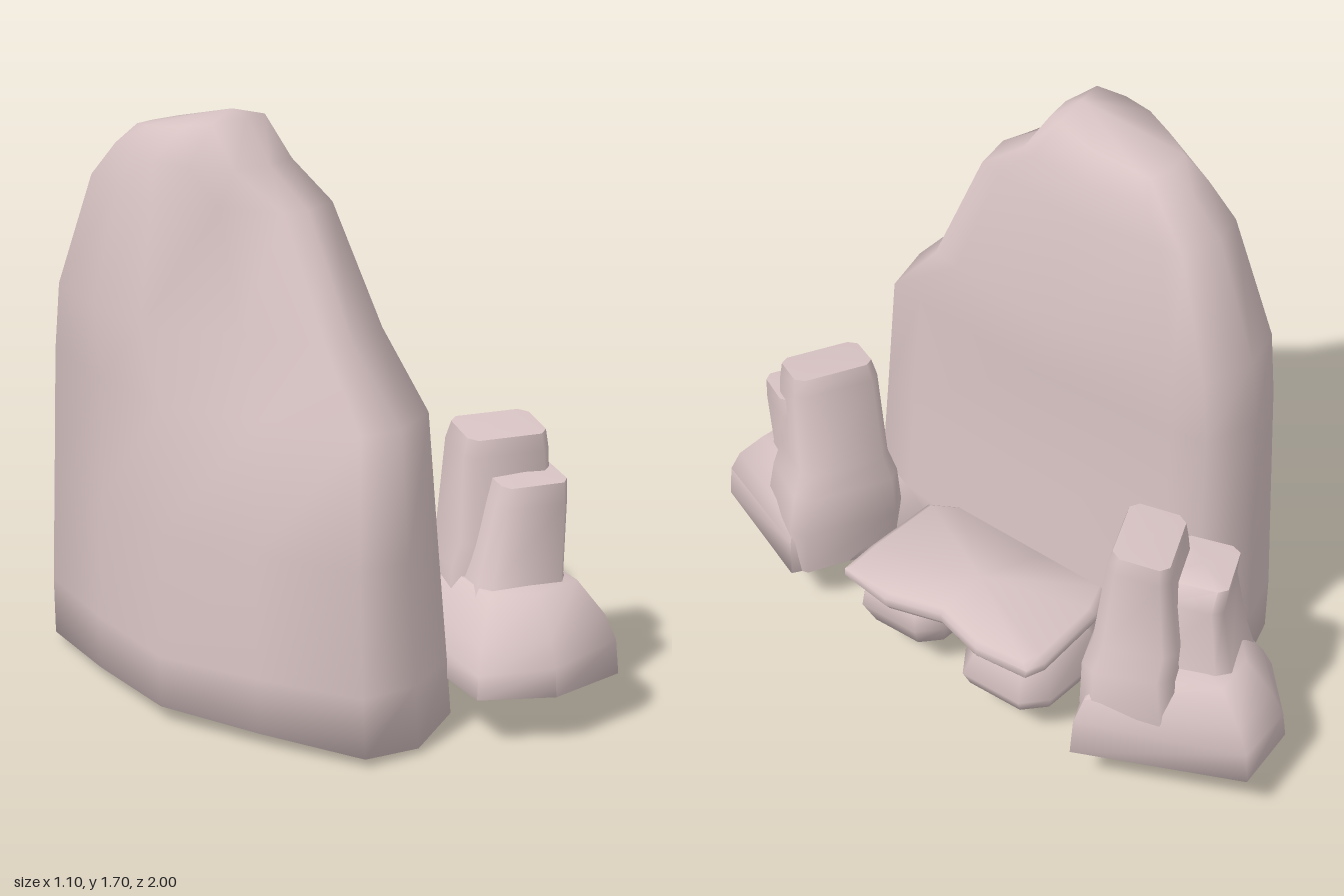
import * as THREE from 'three';
import { toCreasedNormals } from 'three/addons/utils/BufferGeometryUtils.js';

const rock = new THREE.MeshStandardMaterial({ color: 0xd8c3c3 });
rock.name = 'pinkish rock';

// Skin a stack of rings (bottom to top, points [x, y, z]) and close both ends.
function loft(name, rings, bottom, top, crease) {
  const n = rings[0].length;
  let area = 0;
  rings[1].forEach((p, j) => {
    const q = rings[1][(j + 1) % n];
    area += p[2] * q[0] - p[0] * q[2];
  });
  if (area < 0) rings = rings.map((r) => [...r].reverse());
  const pos = [...rings.flat(2), ...bottom, ...top];
  const index = [];
  const low = rings.length * n;
  const last = low - n;
  for (let j = 0; j < n; j++) {
    const k = (j + 1) % n;
    for (let i = 0; i < rings.length - 1; i++) {
      const a = i * n + j, b = i * n + k;
      index.push(a, b, b + n, a, b + n, a + n);
    }
    index.push(low, k, j, low + 1, last + j, last + k);
  }
  const geo = new THREE.BufferGeometry();
  geo.setAttribute('position', new THREE.Float32BufferAttribute(pos, 3));
  geo.setIndex(index);
  const mesh = new THREE.Mesh(toCreasedNormals(geo, crease), rock);
  mesh.name = name;
  return mesh;
}

// Stack one outline [x, z] at several levels [y, scale, rise towards +x].
function stack(name, outline, [cx, cz], levels, y0, y1) {
  const rings = levels.map(([y, s, rise = 0]) =>
    outline.map(([x, z]) => [cx + (x - cx) * s, y + rise * (x - cx), cz + (z - cz) * s]));
  return loft(name, rings, [cx, y0, cz], [cx, y1, cz], 1.3);
}

// Block with chamfered corners; levels are [y, centreX, centreZ, halfWidth, halfDepth], lean shifts the top in x.
function block(name, levels, side, lean, topTilt) {
  const corner = [[1, -0.7], [1, 0.7], [0.8, 1], [-0.8, 1], [-1, 0.7], [-1, -0.7], [-0.8, -1], [0.8, -1]];
  const c = Math.cos(0.44), s = Math.sin(0.44);
  const count = levels.length - 1;
  const rings = levels.map(([y, cx, cz, w, d], i) => corner.map(([u, v]) => [
    cx + lean * i / count + u * w * c - v * d * s,
    y - (i >= count - 1 ? topTilt * v : 0),
    side * (cz + u * w * s + v * d * c),
  ]));
  const first = levels[0], end = levels[count];
  return loft(name, rings,
    [first[1], first[0], side * first[2]],
    [end[1] + lean, end[0] + 0.005, side * end[2]], 1.1);
}

// Tall rounded slab: levels are [y, xMin, xMax, zMin, zMax, pinch of the -x +z corner].
function standingStone() {
  // extra points beside the +x corners keep that face flat
  const outline = [[-1, 0.05], [-0.74, -0.45], [-0.4, -0.92], [0.15, -1], [0.78, -0.92], [0.83, -0.74],
    [1, 0], [0.83, 0.74], [0.78, 0.92], [0.15, 1], [-0.4, 0.94], [-0.74, 0.5]];
  const levels = [
    [0.05, -0.55, 0.07, -0.63, 0.74, 0],
    [0.2, -0.55, 0.06, -0.63, 0.73, 0],
    [0.55, -0.53, 0.04, -0.62, 0.7, 0.02],
    [0.92, -0.51, 0.02, -0.61, 0.67, 0.1],
    [1.12, -0.5, 0.03, -0.59, 0.48, 0.28],
    [1.46, -0.44, -0.04, -0.45, 0.33, 0.18],
    [1.56, -0.4, -0.06, -0.36, 0.18, -0.15],
    [1.65, -0.36, -0.1, -0.28, 0.1, -0.4],
  ];
  const top = levels.length - 1;
  const rings = levels.map(([y, x0, x1, z0, z1, pinch], i) => outline.map(([u, v]) => {
    const shift = u < 0 && v > 0.4 ? pinch : 0;
    return [
      (x0 + x1) / 2 + Math.max(-1, u + shift) * (x1 - x0) / 2,
      // the underside dips towards its long middle line, the top rises towards +z
      y + (i === top ? 0.03 * v : 0) - (i === 0 ? 0.04 * (1 - Math.abs(u)) : 0),
      (z0 + z1) / 2 + v * (z1 - z0) / 2,
    ];
  }));
  return loft('standingStone', rings, [-0.22, 0, 0.05], [-0.22, 1.7, 0.05], 1.7);
}

// Side cluster: a wide sloping foot with a tall and a short stone rising from it.
function cluster(name, side, foot, shortLean) {
  const group = new THREE.Group();
  group.name = name;
  group.add(
    stack('footStone', foot, [0.23, side * 0.68],
      [[0.07, 0.42], [0.15, 1], [0.24, 0.97, 0.08], [0.31, 0.87, 0.08], [0.41, 0.62]], 0.06, 0.42),
    block('tallStone', [
      [0.15, 0.28, 0.6, 0.18, 0.13], [0.3, 0.28, 0.6, 0.18, 0.14], [0.43, 0.28, 0.59, 0.165, 0.13],
      [0.5, 0.27, 0.6, 0.14, 0.12], [0.76, 0.27, 0.605, 0.13, 0.09], [0.81, 0.27, 0.61, 0.12, 0.08],
    ], side, 0, 0.012),
    block('shortStone', [
      [0.18, 0.21, 0.72, 0.18, 0.17], [0.3, 0.205, 0.71, 0.165, 0.155], [0.42, 0.225, 0.69, 0.13, 0.135],
      [0.63, 0.265, 0.7, 0.11, 0.1], [0.69, 0.27, 0.71, 0.1, 0.085],
    ], side, shortLean, 0.008),
  );
  return group;
}

export function createModel() {
  const model = new THREE.Group();
  model.name = 'stoneShrine';
  model.add(standingStone());

  model.add(
    cluster('frontCluster', 1,
      [[0.1, 0.37], [0.3, 0.46], [0.5, 0.58], [0.35, 1], [0.1, 0.98], [-0.07, 0.84]], 0),
    cluster('backCluster', -1,
      [[0.1, -0.41], [0.33, -0.45], [0.53, -0.55], [0.3, -1], [0.08, -0.97], [-0.08, -0.81]], -0.12),
  );

  // Thin altar slab with an uneven outline
  const slab = [[0.1, -0.33], [0.2, -0.37], [0.45, -0.39], [0.51, -0.37], [0.53, -0.2], [0.49, -0.03],
    [0.545, 0.14], [0.525, 0.32], [0.4, 0.33], [0.15, 0.33], [0.1, 0.25], [0.1, -0.1]];
  model.add(stack('altarSlab', slab, [0.31, -0.02], [[0.295, 0.95], [0.31, 1], [0.335, 1], [0.35, 0.94]], 0.29, 0.355));

  // Two squat rocks carrying the slab: [name, centre z, size of each level]
  const supports = [
    ['frontSupport', 0.18, [[0.125, 0.82], [0.2, 1], [0.25, 0.95], [0.3, 0.85]]],
    ['backSupport', -0.225, [[0.125, 0.92], [0.17, 1.02], [0.25, 0.82], [0.3, 0.7]]],
  ];
  for (const [name, cz, levels] of supports) {
    const outline = [[0.11, -0.1], [0.18, -0.16], [0.42, -0.16], [0.49, -0.1], [0.5, 0.1], [0.42, 0.16], [0.18, 0.16], [0.11, 0.1]]
      .map(([x, z]) => [x, z + cz]);
    model.add(stack(name, outline, [0.3, cz], levels, 0.115, 0.3));
  }
  return model;
}
